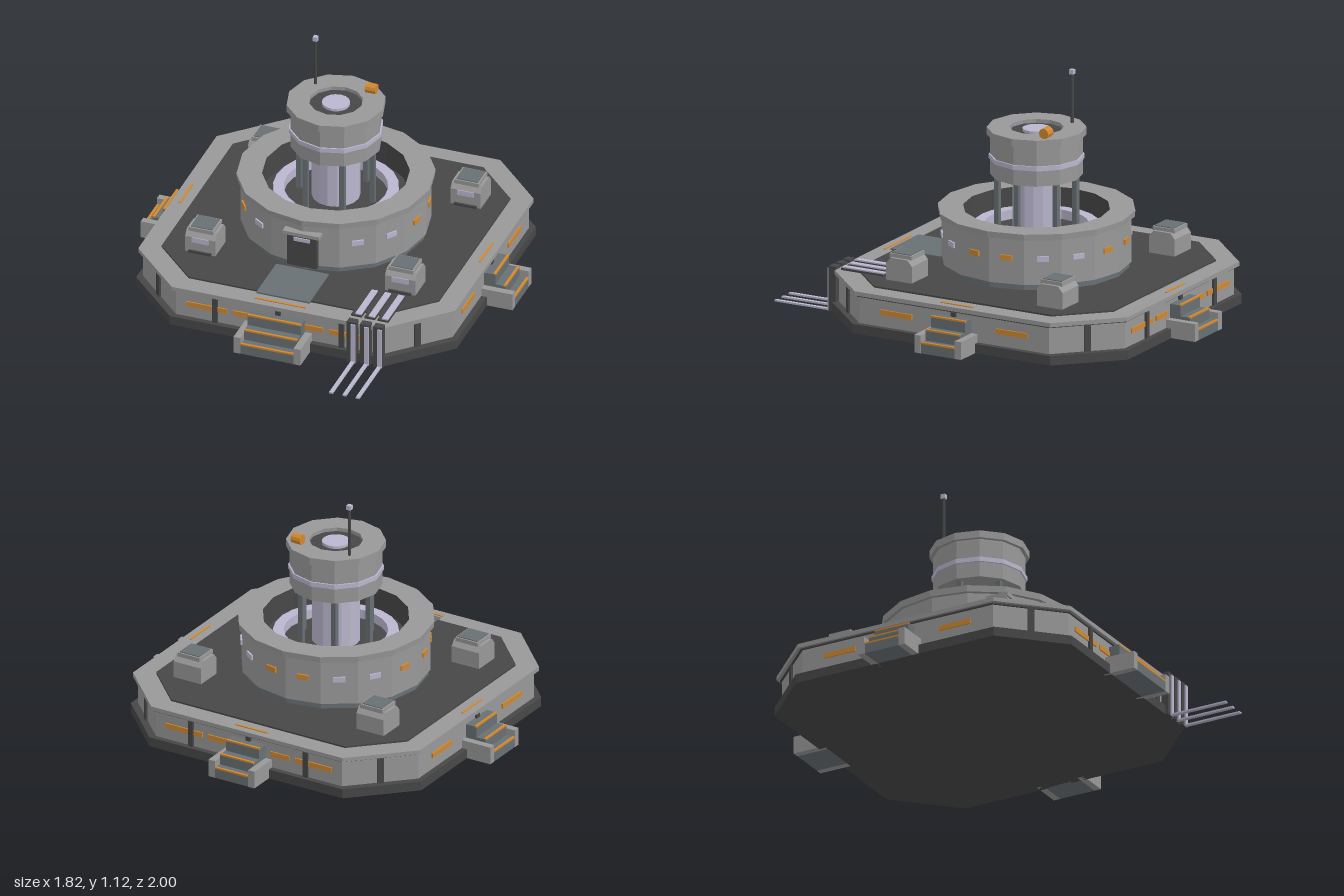
import * as THREE from 'three';

const mat = (name, color) => {
  const m = new THREE.MeshStandardMaterial({ color });
  m.name = name;
  return m;
};

export function createModel() {
  const grey = mat('hull grey', 0x999899);
  const dark = mat('charcoal', 0x474747);
  const slate = mat('slate', 0x687074);
  const pale = mat('pale lavender', 0xbab6ce);
  const orange = mat('signal orange', 0xd2882e);

  const model = new THREE.Group();
  const base = new THREE.Group(); // everything is laid out around the tower axis
  base.name = 'base';
  base.position.z = -0.09;
  model.add(base);

  // Faceted mesh helper
  function add(parent, name, geo, material, x = 0, y = 0, z = 0) {
    const g = geo.index ? geo.toNonIndexed() : geo;
    g.computeVertexNormals();
    const m = new THREE.Mesh(g, material);
    m.name = name;
    m.position.set(x, y, z);
    parent.add(m);
    return m;
  }
  const box = (p, name, material, w, h, d, x, y, z) =>
    add(p, name, new THREE.BoxGeometry(w, h, d), material, x, y, z);
  const drum = (p, name, material, r0, r1, y0, y1, sides, x = 0, z = 0) =>
    add(p, name, new THREE.CylinderGeometry(r1, r0, y1 - y0, sides), material, x, (y0 + y1) / 2, z);
  const lathe = (p, name, material, pts, sides) =>
    add(p, name, new THREE.LatheGeometry(pts.map(a => new THREE.Vector2(...a)), sides), material);
  const turned = (name, angle, parent = base) => {
    const g = new THREE.Group();
    g.name = name;
    g.rotation.y = angle;
    parent.add(g);
    return g;
  };

  // Eight-sided platform slabs
  function slab(name, material, h, c, y0, y1) {
    const k = h - c;
    const s = new THREE.Shape([[h, -k], [h, k], [k, h], [-k, h], [-h, k], [-h, -k], [-k, -h], [k, -h]]
      .map(a => new THREE.Vector2(...a)));
    const g = new THREE.ExtrudeGeometry(s, { depth: y1 - y0, bevelEnabled: false });
    g.rotateX(-Math.PI / 2);
    add(base, name, g, material, 0, y0, 0);
  }
  slab('plinth', dark, 0.785, 0.262, 0, 0.045);
  slab('platformWall', grey, 0.758, 0.255, 0.045, 0.172);
  slab('rimSeam', dark, 0.765, 0.257, 0.172, 0.18);
  slab('rim', grey, 0.777, 0.26, 0.18, 0.2);
  slab('deck', dark, 0.68, 0.21, 0.2, 0.208);

  // Four sides: stairs, wall posts, light strips, rim markings
  for (let i = 0; i < 4; i++) {
    const side = turned('side' + i, i * Math.PI / 2);
    const w = i === 0 ? 0.13 : 0.09;
    [[0.91, 0.05], [0.865, 0.1], [0.815, 0.152]].forEach(([z, h]) => {
      box(side, 'step', slate, w * 2, h, z - 0.75, 0, h / 2, (z + 0.75) / 2);
      box(side, 'stepNose', orange, w * 2, 0.008, 0.012, 0, h, z - 0.005);
    });
    for (const s of [-1, 1])
      box(side, 'stairCheek', grey, 0.034, 0.085, 0.16, s * (w + 0.017), 0.0425, 0.831);
    box(side, 'rimMarking', orange, w * 1.9, 0.006, 0.01, 0, 0.201, 0.735);
    box(side, 'wallPost', dark, 0.025, 0.127, 0.02, 0, 0.109, 0.76);
    for (const s of [-1, 1]) {
      if (i % 2 === 0) {
        box(side, 'wallPost', dark, 0.025, 0.127, 0.02, s * 0.31, 0.109, 0.76);
        box(side, 'lightStrip', orange, 0.2, 0.024, 0.008, s * 0.35, 0.115, 0.76);
        box(side, 'lightStrip', orange, 0.1, 0.024, 0.008, s * 0.17, 0.115, 0.76);
      } else {
        box(side, 'lightStrip', orange, 0.165, 0.024, 0.008, s * 0.305, 0.115, 0.76);
      }
    }
    const corner = turned('corner' + i, Math.PI / 4 + i * Math.PI / 2);
    box(corner, 'cornerPost', dark, 0.03, 0.127, 0.02, 0, 0.109, 0.892);
  }
  box(base, 'walkway', slate, 0.26, 0.008, 0.26, 0, 0.208, 0.57);

  // Ring wall with sunken court
  lathe(base, 'ringFoot', slate, [[0.43, 0.2], [0.43, 0.235]], 16);
  lathe(base, 'ringWall', grey,
    [[0.43, 0.235], [0.44, 0.235], [0.44, 0.45], [0.455, 0.452], [0.458, 0.482], [0.34, 0.482]], 16);
  lathe(base, 'courtWall', dark, [[0.34, 0.482], [0.34, 0.36], [0.001, 0.36]], 16);
  lathe(base, 'courtRing', pale, [[0.29, 0.36], [0.29, 0.405], [0.24, 0.405], [0.24, 0.36]], 24);

  // Ring windows, one per facet except beside the door
  const lit = [3, 4, 7, 8, 11, 12, 13];
  for (let k = 1; k < 15; k++) {
    const g = turned('windowMount' + k, (k + 0.5) * Math.PI / 8);
    box(g, 'ringWindow', lit.includes(k) ? orange : pale, 0.056, 0.025, 0.009, 0, 0.36, 0.435);
  }

  // Door
  box(base, 'door', dark, 0.145, 0.17, 0.04, 0, 0.315, 0.43);
  box(base, 'doorHood', grey, 0.18, 0.018, 0.06, 0, 0.407, 0.435);
  box(base, 'doorLight', pale, 0.08, 0.018, 0.008, 0, 0.375, 0.452);

  // Tower shaft and posts
  drum(base, 'towerShaft', pale, 0.112, 0.112, 0.36, 0.65, 16);
  for (let i = 0; i < 6; i++) {
    const a = i * Math.PI / 3;
    box(base, 'towerPost', slate, 0.024, 0.29, 0.024, 0.18 * Math.cos(a), 0.5, 0.18 * Math.sin(a));
  }

  // Tower head
  drum(base, 'headLower', grey, 0.213, 0.213, 0.64, 0.715, 12);
  drum(base, 'headBand', pale, 0.22, 0.22, 0.715, 0.737, 12);
  drum(base, 'headUpper', grey, 0.213, 0.213, 0.737, 0.83, 12);
  lathe(base, 'headCap', grey,
    [[0.2, 0.83], [0.23, 0.83], [0.23, 0.865], [0.125, 0.865], [0.125, 0.845]], 12);
  drum(base, 'roofWell', dark, 0.127, 0.127, 0.828, 0.847, 16);
  drum(base, 'roofLens', pale, 0.065, 0.065, 0.84, 0.86, 16);

  // Antenna and beacon
  drum(base, 'antenna', dark, 0.008, 0.008, 0.86, 1.1, 8, -0.14, -0.108);
  box(base, 'antennaTip', pale, 0.022, 0.022, 0.022, -0.14, 1.109, -0.108);
  const beacon = add(base, 'beacon', new THREE.CylinderGeometry(0.025, 0.025, 0.05, 10), orange, 0.128, 0.888, -0.125);
  beacon.rotation.z = Math.PI / 2;

  // Four deck housings with bevelled edges
  const profile = new THREE.Shape([[-0.068, 0], [0.068, 0], [0.068, 0.08], [0.045, 0.108], [-0.045, 0.108], [-0.068, 0.08]]
    .map(a => new THREE.Vector2(...a)));
  for (const [x, z] of [[-0.49, 0.405], [0.49, 0.405], [-0.49, -0.425], [0.51, -0.405]]) {
    const h = new THREE.Group();
    h.name = 'deckHousing';
    h.position.set(x, 0.208, z);
    base.add(h);
    const g = new THREE.ExtrudeGeometry(profile, { depth: 0.148, bevelEnabled: false });
    g.translate(0, 0, -0.074);
    g.rotateY(-Math.PI / 2);
    add(h, 'housingBody', g, grey);
    box(h, 'housingLid', grey, 0.12, 0.02, 0.115, 0, 0.115, 0);
    box(h, 'housingHatch', slate, 0.105, 0.006, 0.1, 0, 0.126, 0);
    box(h, 'housingWindow', pale, 0.08, 0.026, 0.008, 0, 0.067, 0.068);
    box(h, 'housingSill', dark, 0.11, 0.012, 0.016, 0, 0.006, 0.07);
  }

  // Supply lines over the deck, down the wall and along the ground
  for (const x of [0.38, 0.445, 0.51]) {
    box(base, 'lineTray', dark, 0.052, 0.01, 0.225, x - 0.008, 0.211, 0.62);
    box(base, 'deckLine', pale, 0.03, 0.012, 0.22, x, 0.216, 0.62);
    box(base, 'lineBracket', dark, 0.046, 0.215, 0.035, x - 0.008, 0.1075, 0.782);
    box(base, 'wallLine', pale, 0.022, 0.205, 0.008, x + 0.002, 0.1025, 0.802);
    box(base, 'groundLine', pale, 0.018, 0.008, 0.3, x, 0.004, 0.94);
  }
  return model;
}
